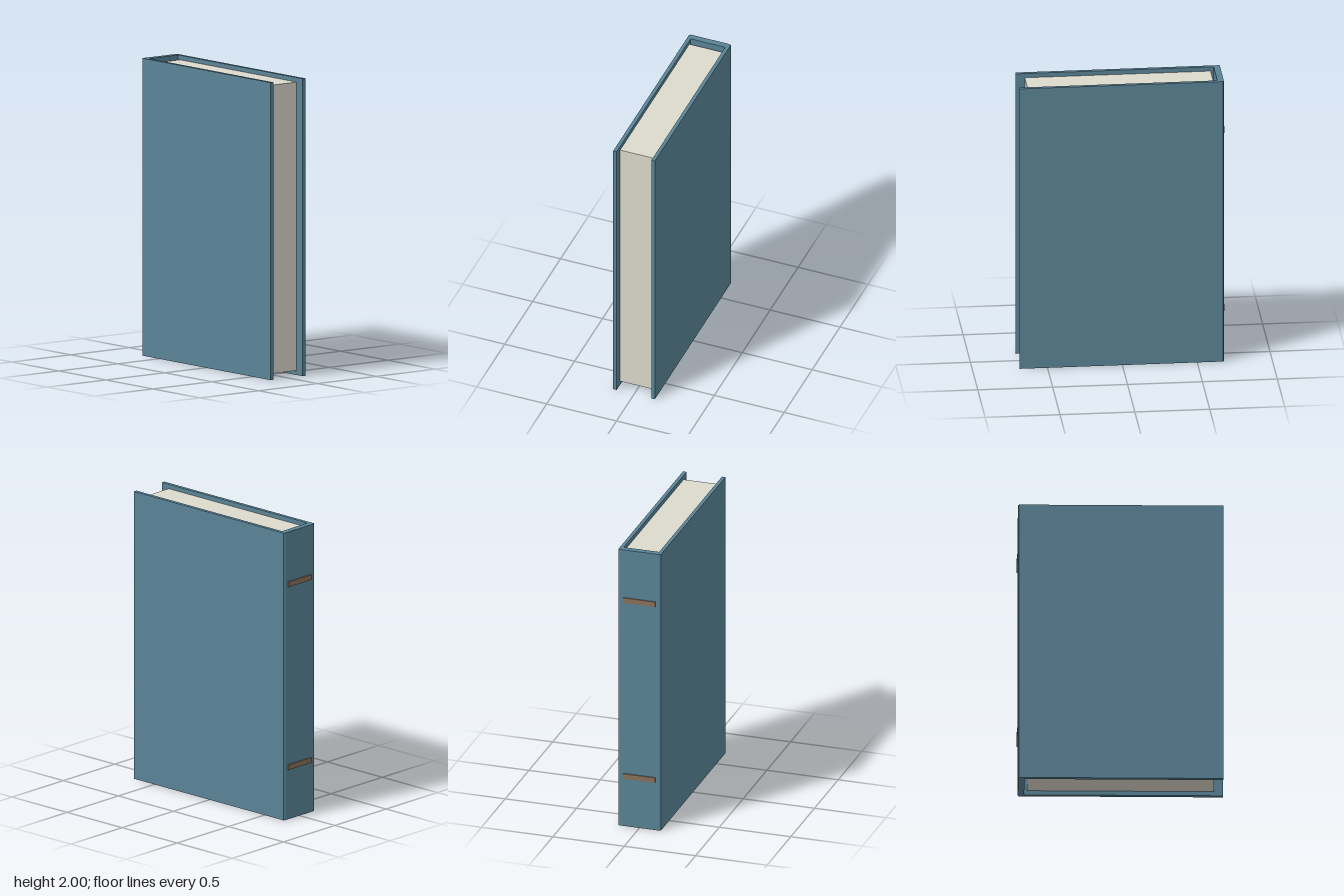
import * as THREE from 'three';

const cloth = new THREE.MeshStandardMaterial({ color: 0x5a8497 });
const paper = new THREE.MeshStandardMaterial({ color: 0xdcd9cc });
const leather = new THREE.MeshStandardMaterial({ color: 0x8a6f5a });

// Box given by its min and max corners
function block(name, material, [x0, y0, z0], [x1, y1, z1]) {
  const mesh = new THREE.Mesh(new THREE.BoxGeometry(x1 - x0, y1 - y0, z1 - z0), material);
  mesh.name = name;
  mesh.position.set((x0 + x1) / 2, (y0 + y1) / 2, (z0 + z1) / 2);
  return mesh;
}

export function createModel() {
  const book = new THREE.Group();
  book.name = 'book';

  // Binding: both covers and the spine as one U-shaped section, with the
  // spine corners slightly bevelled (shape y becomes -z after rotation)
  const half = [[0.124, -0.686], [0.149, -0.686], [0.149, 0.673], [0.137, 0.679]];
  const outline = [
    [0.124, 0.636], ...half,
    ...half.map(([x, y]) => [-x, y]).reverse(), [-0.124, 0.636],
  ].map(([x, y]) => new THREE.Vector2(x, y));
  const geometry = new THREE.ExtrudeGeometry(new THREE.Shape(outline), { depth: 2, bevelEnabled: false });
  geometry.rotateX(-Math.PI / 2);
  const binding = new THREE.Mesh(geometry, cloth);
  binding.name = 'binding';
  book.add(binding);

  // Page block, set in from the cover edges
  book.add(block('pages', paper, [-0.124, 0.03, -0.616], [0.124, 1.97, 0.625]));

  // Raised bands across the spine
  for (const [name, y] of [['lowerBand', 0.363], ['upperBand', 1.637]]) {
    book.add(block(name, leather, [-0.112, y - 0.018, -0.687], [0.112, y + 0.018, -0.67]));
  }
  return book;
}
